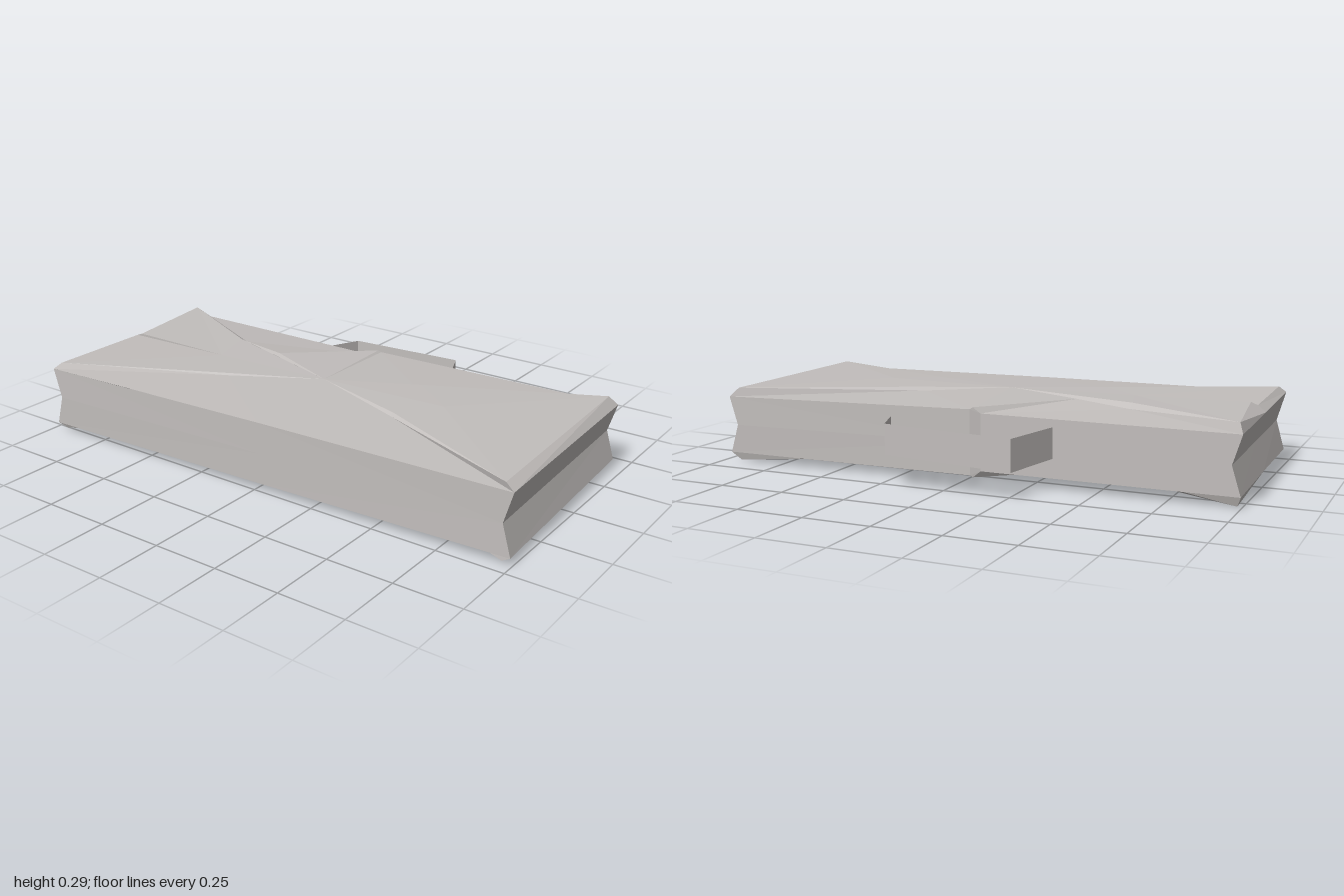
import * as THREE from 'three';

const HEIGHT = 0.29;

// Flat-shaded mesh from a list of triangles (each three [x, y, z] points)
function facetMesh(name, triangles, material) {
  const geometry = new THREE.BufferGeometry();
  geometry.setAttribute('position', new THREE.Float32BufferAttribute(triangles.flat(2), 3));
  geometry.computeVertexNormals();
  const mesh = new THREE.Mesh(geometry, material);
  mesh.name = name;
  return mesh;
}

// Fan of triangles around the first point; an upward fan has its winding corrected
function fan(points, up = true) {
  const out = [];
  for (let i = 1; i < points.length - 1; i++) {
    const [a, b, c] = [points[0], points[i], points[i + 1]];
    const ny = (b[2] - a[2]) * (c[0] - a[0]) - (b[0] - a[0]) * (c[2] - a[2]);
    out.push(up && ny < 0 ? [a, c, b] : [a, b, c]);
  }
  return out;
}

const mirrorY = (triangles) =>
  triangles.map((t) => t.map(([x, y, z]) => [x, HEIGHT - y, z]).reverse());

export function createModel() {
  const group = new THREE.Group();
  group.name = 'flatCase';
  const card = new THREE.MeshStandardMaterial({
    color: 0xc2bebc, side: THREE.DoubleSide, flatShading: true,
  });
  card.name = 'pale warm grey';

  // Outline of the walls
  const FL = [-0.455, 0.26, 0.995], FR = [0.41, 0.253, 0.96];
  const RM1 = [0.35, 0.265, -0.03], RM2 = [0.335, 0.25, -0.065];
  const BR = [0.335, 0.25, -1], BM = [-0.09, 0.252, -0.985], BL = [-0.537, 0.258, -0.97];
  const LM = [-0.495, 0.262, 0.02];
  const outline = [FL, FR, RM1, RM2, BR, BM, BL, LM];

  // Raised front flap and the two back flaps
  const C = [-0.065, 0.283, -0.01];
  const fl = [-0.445, 0.283, 0.96], fr = [0.39, 0.286, 0.93], P = [-0.05, 0.29, 0.5];
  const frontLeftFold = [-0.19, 0.285, 0.38], frontRightFold = [0.09, 0.286, 0.32];
  const bl = [-0.515, 0.282, -0.945], br = [0.315, 0.286, -0.985];
  const seamL = [-0.09, 0.276, -0.955], seamR = [-0.09, 0.286, -0.93];
  const Q = [-0.085, 0.282, -0.5], backLeftFold = [-0.22, 0.282, -0.34];
  const backRightFold = [0.1, 0.286, -0.55];

  // Lower side flaps
  const rightFold = [0.1, 0.275, 0.28], backRightLow = [0.13, 0.268, -0.55];
  const creaseTip = [0.07, 0.28, -0.33], creaseEnd = [0.345, 0.272, -0.04];
  const leftFold = [-0.205, 0.276, 0.38], backLeftLow = [-0.23, 0.276, -0.34];
  const leftBack = [-0.517, 0.26, -0.53];

  const frontFlap = [
    ...fan([P, fl, fr]),
    ...fan([P, fr, frontRightFold, C]),
    ...fan([P, C, frontLeftFold, fl]),
    ...fan([FL, FR, fr, fl]),
    // flanks down to the side flaps
    ...fan([fr, FR, rightFold, frontRightFold]),
    ...fan([frontRightFold, rightFold, C]),
    ...fan([fl, FL, leftFold, frontLeftFold]),
    ...fan([frontLeftFold, leftFold, C]),
  ];
  const backFlaps = [
    ...fan([Q, bl, seamL]),
    ...fan([Q, C, backLeftFold, bl]),
    ...fan([Q, seamR, br]),
    ...fan([Q, br, backRightFold, C]),
    ...fan([BL, BM, seamL, bl]),
    ...fan([BM, BR, br, seamR]),
    ...fan([Q, seamL, seamR], false),
    ...fan([BM, seamL, seamR], false),
    // flanks down to the side flaps
    ...fan([br, BR, backRightLow, backRightFold]),
    ...fan([backRightFold, backRightLow, C]),
    ...fan([bl, BL, backLeftLow, backLeftFold]),
    ...fan([backLeftFold, backLeftLow, C]),
  ];
  const rightFlap = [
    ...fan([rightFold, FR, RM1]),
    ...fan([rightFold, RM1, C]),
    ...fan([C, RM1, creaseEnd, creaseTip]),
    ...fan([creaseTip, creaseEnd, RM2]),
    ...fan([RM1, RM2, creaseEnd], false),
    ...fan([backRightLow, RM2, BR]),
    ...fan([backRightLow, creaseTip, RM2]),
    ...fan([backRightLow, C, creaseTip]),
  ];
  const leftFlap = [
    ...fan([leftFold, FL, LM]),
    ...fan([leftFold, LM, C]),
    ...fan([backLeftLow, C, LM]),
    ...fan([backLeftLow, LM, leftBack]),
    ...fan([backLeftLow, leftBack, BL]),
  ];
  const flaps = { FrontFlap: frontFlap, BackFlaps: backFlaps, RightFlap: rightFlap, LeftFlap: leftFlap };
  for (const [name, triangles] of Object.entries(flaps)) {
    group.add(facetMesh('top' + name, triangles, card));
    group.add(facetMesh('bottom' + name, mirrorY(triangles), card));
  }

  // Walls: the short ends are pinched inward at mid height
  const middle = ([x, , z]) =>
    [x, HEIGHT / 2, Math.abs(z) > 0.9 ? z - Math.sign(z) * 0.033 : z];
  const walls = [];
  outline.forEach((a, i) => {
    const b = outline[(i + 1) % outline.length];
    const upper = fan([a, middle(a), middle(b), b], false);
    walls.push(...upper, ...mirrorY(upper));
  });
  group.add(facetMesh('sideWalls', walls, card));

  // Handle: thin upright band standing off the side, as x, z, bottom, top
  const band = [
    [0.365, 0.28, 0.11, 0.22],
    [0.535, 0.21, 0.115, 0.227],
    [0.535, -0.27, 0.096, 0.212],
    [0.335, -0.34, 0.11, 0.222],
  ];
  const handle = [];
  for (let i = 0; i < band.length - 1; i++) {
    const [x0, z0, b0, t0] = band[i], [x1, z1, b1, t1] = band[i + 1];
    handle.push(...fan([[x0, b0, z0], [x1, b1, z1], [x1, t1, z1], [x0, t0, z0]], false));
  }
  group.add(facetMesh('handle', handle, card));

  return group;
}
